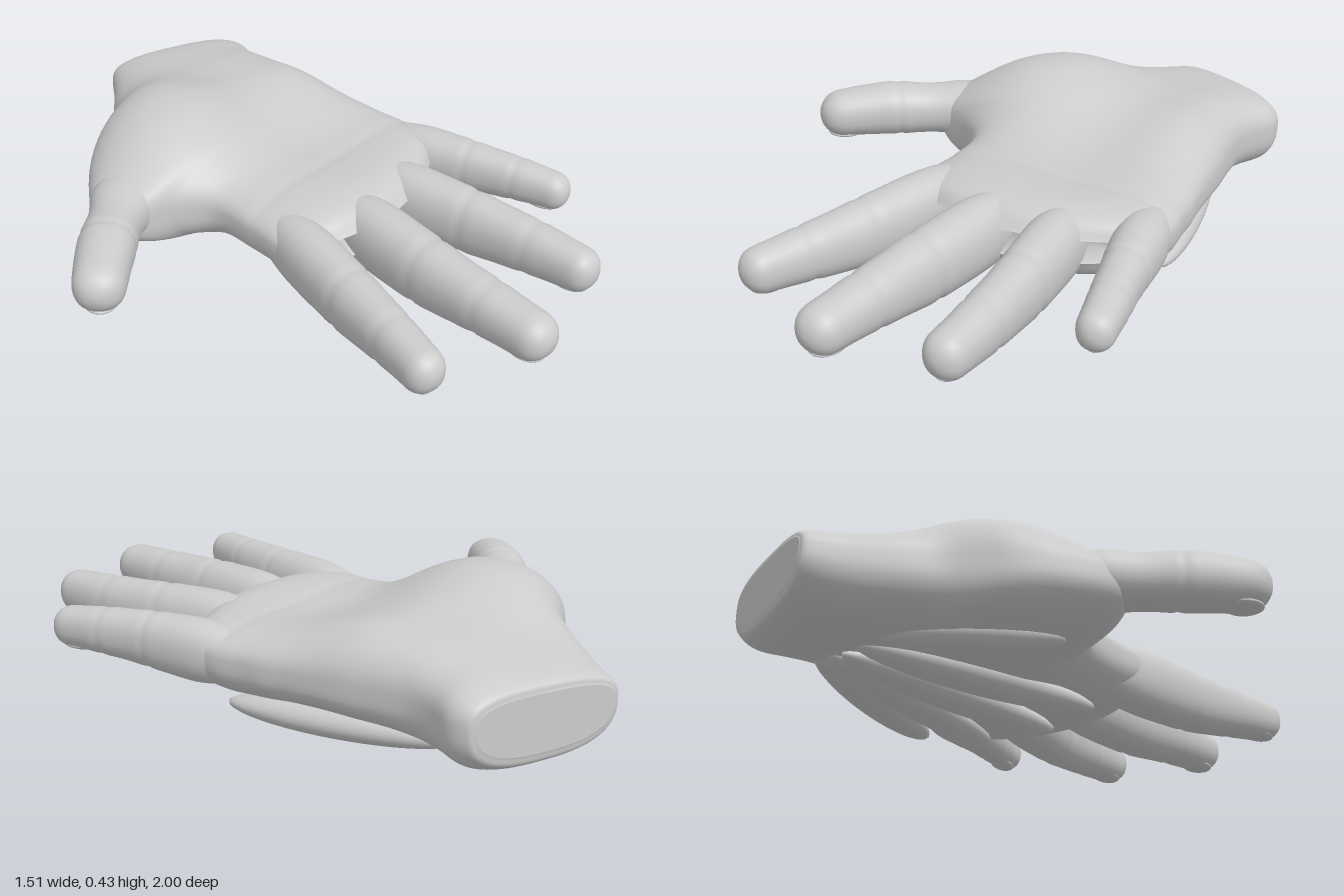
import * as THREE from 'three';

const material = new THREE.MeshStandardMaterial({ color: 0xcccccc });

// Skin equal-sized rings into a smooth closed surface; caps get their own vertices
function loft(rings) {
  const n = rings[0].length, pos = [], index = [];
  const push = (p) => pos.push(p.x, p.y, p.z) / 3 - 1;
  rings.forEach((r) => r.forEach(push));
  for (let i = 0; i < rings.length - 1; i++) {
    for (let j = 0; j < n; j++) {
      const k = (j + 1) % n;
      const a = i * n + j, b = i * n + k, c = a + n, d = b + n;
      index.push(a, b, d, a, d, c);
    }
  }
  for (const [ring, flip] of [[rings[0], true], [rings.at(-1), false]]) {
    const centre = new THREE.Vector3();
    ring.forEach((p) => centre.addScaledVector(p, 1 / n));
    const c = push(centre), first = ring.map(push)[0];
    for (let j = 0; j < n; j++) {
      const a = first + j, b = first + (j + 1) % n;
      if (flip) index.push(c, b, a); else index.push(c, a, b);
    }
  }
  const g = new THREE.BufferGeometry();
  g.setAttribute('position', new THREE.Float32BufferAttribute(pos, 3));
  g.setIndex(index);
  g.computeVertexNormals();
  return g;
}

const curve = (pts) => new THREE.CatmullRomCurve3(pts.map((p) => new THREE.Vector3(...p)), false, 'catmullrom');
const power = (v, e) => Math.sign(v) * Math.abs(v) ** e;

function addMesh(group, name, geometry) {
  const mesh = new THREE.Mesh(geometry, material);
  mesh.name = name;
  group.add(mesh);
  return mesh;
}

// Palm and wrist: thumb-side x, z, little-finger-side x, z, top, bottom, forward bulge
const PALM = [
  [0.1, -0.995, 0.52, -0.862, 0.275, 0.115, 0],
  [0.075, -0.985, 0.54, -0.845, 0.3, 0.085, 0],
  [0.02, -0.90, 0.548, -0.79, 0.318, 0.06, 0],
  [-0.06, -0.79, 0.522, -0.71, 0.325, 0.058, 0],
  [-0.14, -0.68, 0.515, -0.63, 0.325, 0.065, 0],
  [-0.3, -0.57, 0.53, -0.53, 0.315, 0.07, 0],
  [-0.405, -0.45, 0.55, -0.43, 0.312, 0.07, 0],
  [-0.465, -0.325, 0.565, -0.33, 0.31, 0.07, 0],
  [-0.41, -0.22, 0.58, -0.24, 0.31, 0.07, 0],
  [-0.28, -0.17, 0.595, -0.17, 0.31, 0.07, 0],
  [-0.185, -0.09, 0.605, -0.1, 0.312, 0.07, 0.015],
  [-0.17, 0.05, 0.62, -0.03, 0.315, 0.07, 0.04],
  [-0.17, 0.15, 0.625, 0.03, 0.312, 0.08, 0.08],
  [-0.165, 0.21, 0.622, 0.07, 0.29, 0.105, 0.11],
  [-0.14, 0.24, 0.605, 0.095, 0.245, 0.16, 0.13],
];

// Thumb pad, heel pad and the hollow between them
function padHeight(x, z) {
  const thumb = Math.hypot((x + 0.11) / 0.29, (z + 0.44) / 0.28);
  const heel = Math.hypot((x - 0.45) / 0.23, (z + 0.43) / 0.26);
  const hollow = Math.hypot((x - 0.27) / 0.2, (z + 0.08) / 0.2);
  const crease = z - 0.04 + 0.1 * x;
  return 0.13 * Math.exp(-(thumb ** 2.6)) + 0.09 * Math.exp(-(heel ** 2))
    - 0.02 * Math.exp(-(hollow ** 2)) - 0.004 * Math.exp(-((crease / 0.02) ** 2));
}

function palmGeometry() {
  const left = curve(PALM.map((s) => [s[0], 0, s[1]]));
  const right = curve(PALM.map((s) => [s[2], 0, s[3]]));
  const heights = curve(PALM.map((s) => s.slice(4)));
  const rings = [], steps = 112, sides = 88;
  for (let i = 0; i <= steps; i++) {
    const t = i / steps;
    const l = left.getPoint(t), r = right.getPoint(t), h = heights.getPoint(t);
    const mid = (h.x + h.y) / 2 + 0.015, ring = [];
    for (let j = 0; j < sides; j++) {
      const a = (j / sides) * Math.PI * 2, up = Math.sin(a);
      // The back of the hand is rounder than the palm side
      const s = power(Math.cos(a), 0.75), v = power(up, up > 0 ? 0.64 : 0.8);
      const p = l.clone().lerp(r, (s + 1) / 2);
      p.z += h.z * (1 - s * s);
      const half = v > 0 ? h.x + padHeight(p.x, p.z) - mid : mid - h.y;
      p.y = mid + half * v;
      ring.push(p);
    }
    rings.push(ring);
  }
  return loft(rings);
}

// Digit: points are x, y, z, half width, half height; joints are shallow creases
function digitGeometry(pts, joints) {
  const path = curve(pts.map((p) => p.slice(0, 3)));
  const sizes = curve(pts.map((p) => [p[3], p[4], 0]));
  const tip = 1 - (pts.at(-1)[3] * 1.1) / path.getLength();
  const ts = [];
  for (let i = 0; i < 56; i++) ts.push((tip * i) / 56);
  for (let i = 0; i <= 12; i++) ts.push(tip + (1 - tip) * Math.sin((i / 12) * Math.PI / 2));
  const rings = ts.map((t) => {
    const c = path.getPointAt(t), d = path.getTangentAt(t);
    const side = new THREE.Vector3(d.z, 0, -d.x).normalize();
    const size = sizes.getPoint(path.getUtoTmapping(t));
    const e = Math.max(0, (t - tip) / (1 - tip));
    let k = Math.max(0.001, 1 - e ** 2.6) ** 0.5;
    for (const j of joints) {
      k *= 1 - 0.045 * Math.exp(-(((t - j) / 0.016) ** 2)) + 0.025 * Math.exp(-(((t - j) / 0.07) ** 2));
    }
    return Array.from({ length: 32 }, (_, j) => {
      const a = (j / 32) * Math.PI * 2;
      const p = c.clone().addScaledVector(side, size.x * k * power(Math.cos(a), 0.9));
      p.y += size.y * k * power(Math.sin(a), 0.9);
      return p;
    });
  });
  return loft(rings);
}

// Each digit starts slim inside the palm and swells out through its edge
const DIGITS = {
  indexFinger: [[[-0.07, 0.2, 0.02, 0.05, 0.06], [-0.095, 0.198, 0.22, 0.083, 0.106],
    [-0.148, 0.195, 0.5, 0.079, 0.1], [-0.19, 0.205, 0.7, 0.068, 0.08], [-0.235, 0.212, 0.885, 0.06, 0.064]], [0.52, 0.76]],
  middleFinger: [[[0.138, 0.2, 0.05, 0.05, 0.06], [0.134, 0.198, 0.28, 0.088, 0.11],
    [0.12, 0.195, 0.55, 0.085, 0.106], [0.115, 0.205, 0.78, 0.076, 0.083], [0.11, 0.21, 1.0, 0.07, 0.068]], [0.5, 0.75]],
  ringFinger: [[[0.33, 0.2, 0.0, 0.05, 0.06], [0.36, 0.2, 0.22, 0.086, 0.108],
    [0.405, 0.2, 0.47, 0.078, 0.102], [0.435, 0.207, 0.69, 0.07, 0.082], [0.45, 0.212, 0.89, 0.062, 0.066]], [0.5, 0.75]],
  littleFinger: [[[0.525, 0.21, -0.08, 0.05, 0.06], [0.563, 0.212, 0.08, 0.08, 0.092],
    [0.622, 0.222, 0.28, 0.067, 0.08], [0.67, 0.225, 0.43, 0.06, 0.068], [0.715, 0.222, 0.58, 0.053, 0.057]], [0.5, 0.74]],
  thumb: [[[-0.2, 0.235, -0.42, 0.05, 0.05], [-0.35, 0.235, -0.32, 0.105, 0.085],
    [-0.46, 0.238, -0.23, 0.085, 0.082], [-0.58, 0.245, -0.115, 0.086, 0.086], [-0.725, 0.24, 0.045, 0.075, 0.07]], [0.62]],
};

// Back-of-hand ridges fan out from the wrist: near x, far x, far z, mid height
const TENDONS = {
  littleTendon: [0.36, 0.57, -0.02, 0.088],
  ringTendon: [0.3, 0.4, 0.1, 0.068],
  middleTendon: [0.25, 0.15, 0.13, 0.054],
  indexTendon: [0.2, -0.04, 0.1, 0.07],
  thumbTendon: [0.15, -0.26, -0.31, 0.088],
};

export function createModel() {
  const hand = new THREE.Group();
  hand.name = 'hand';
  addMesh(hand, 'palm', palmGeometry());

  for (const [name, [pts, joints]] of Object.entries(DIGITS)) {
    addMesh(hand, name, digitGeometry(pts, joints));
    // Nail lies on the underside, just behind the tip
    const [a, b] = [pts.at(-2), pts.at(-1)];
    const dir = new THREE.Vector3(b[0] - a[0], 0, b[2] - a[2]).normalize();
    const nail = addMesh(hand, name + 'Nail', new THREE.SphereGeometry(1, 24, 12));
    nail.scale.set(b[3] * 0.68, 0.014, 0.06);
    nail.position.set(b[0], b[1] - b[4] * 0.92, b[2]).addScaledVector(dir, -0.085);
    nail.rotation.y = Math.atan2(dir.x, dir.z);
  }

  for (const [name, [nearX, x, z, y]] of Object.entries(TENDONS)) {
    const dx = x - nearX, dz = z + 0.69;
    const tendon = addMesh(hand, name, new THREE.SphereGeometry(1, 28, 32));
    tendon.scale.set(0.068, 0.05, Math.hypot(dx, dz) / 2);
    tendon.position.set(nearX + dx / 2, y, -0.69 + dz / 2);
    tendon.rotation.y = Math.atan2(dx, dz);
  }
  return hand;
}
